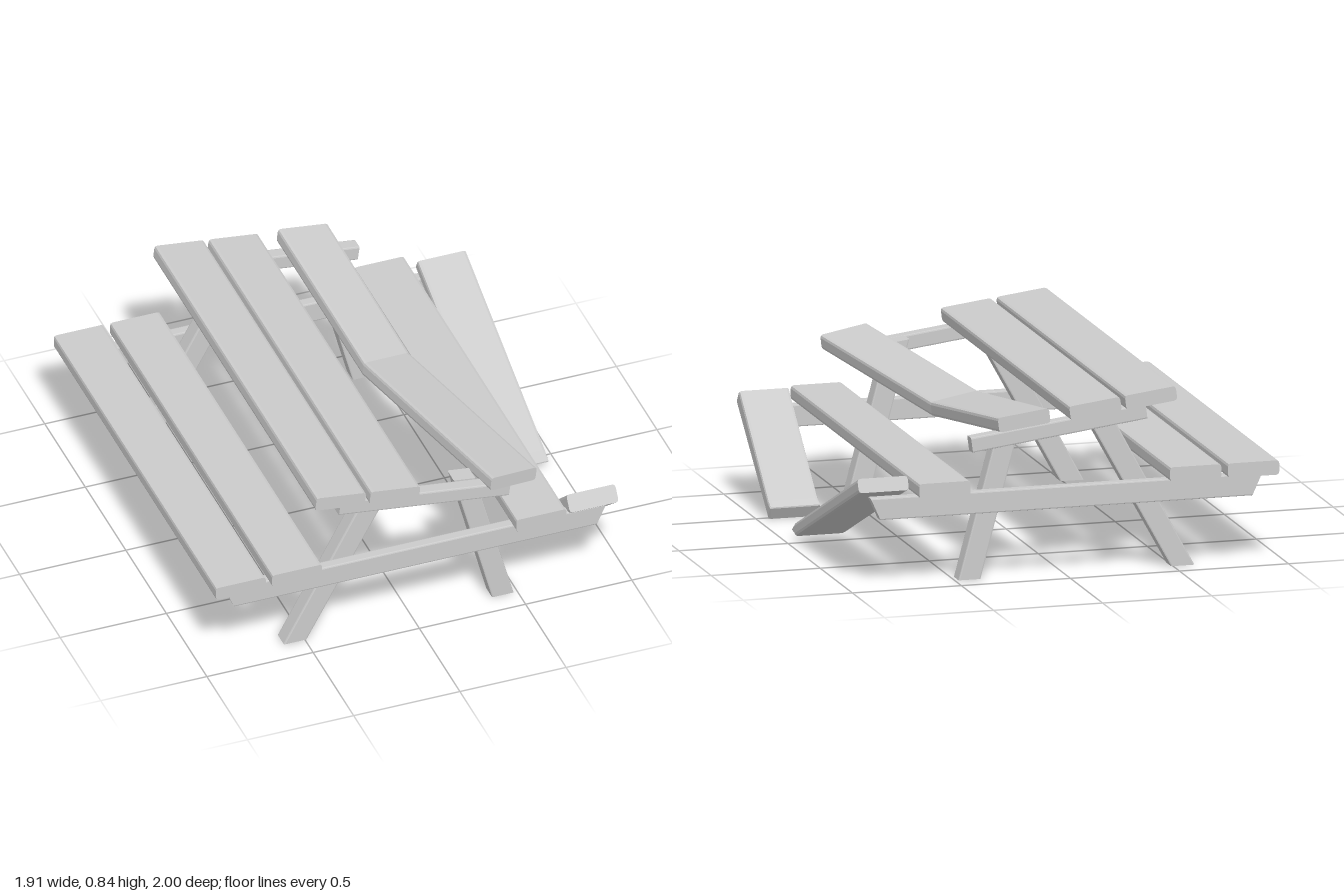
import * as THREE from 'three';

const material = new THREE.MeshStandardMaterial({ color: 0xcccccc, side: THREE.DoubleSide });

// Timber lofted through stations [centre, width vector, thickness vector], with eased long edges.
function timber(name, stations, ease = 0.014) {
  const st = stations.map((s) => s.map((v) => new THREE.Vector3(...v)));
  const ref = st[1];
  const a = ease / ref[1].length(), b = ease / ref[2].length(), h = 0.5;
  const s = new THREE.Shape();
  s.moveTo(-h + a, -h);
  s.lineTo(h - a, -h);
  s.quadraticCurveTo(h, -h, h, -h + b);
  s.lineTo(h, h - b);
  s.quadraticCurveTo(h, h, h - a, h);
  s.lineTo(-h + a, h);
  s.quadraticCurveTo(-h, h, -h, h - b);
  s.lineTo(-h, -h + b);
  s.quadraticCurveTo(-h, -h, -h + a, -h);
  const n = st.length - 1;
  const geo = new THREE.ExtrudeGeometry(s, { depth: 1, steps: n, bevelEnabled: false, curveSegments: 2 });
  const pos = geo.attributes.position;
  const p = new THREE.Vector3();
  for (let i = 0; i < pos.count; i++) {
    const [c, u, v] = st[Math.round(pos.getZ(i) * n)];
    p.copy(c).addScaledVector(u, pos.getX(i)).addScaledVector(v, pos.getY(i));
    pos.setXYZ(i, p.x, p.y, p.z);
  }
  geo.computeVertexNormals();
  const mesh = new THREE.Mesh(geo, material);
  mesh.name = name;
  return mesh;
}

// Straight plank running the full depth
function plank(name, x, y, tilt) {
  const u = [0.235 * Math.cos(tilt), 0.235 * Math.sin(tilt), 0];
  const v = [-0.065 * Math.sin(tilt), 0.065 * Math.cos(tilt), 0];
  return timber(name, [[[x, y, -1], u, v], [[x, y, 1], u, v]]);
}

export function createModel() {
  const group = new THREE.Group();
  group.name = 'brokenPicnicTable';
  const tilt = -0.126;

  // Seat planks
  for (const x of [-0.84, -0.575, 0.575]) group.add(plank('seatPlank', x, 0.438, 0));

  // Sagging table top: two whole planks and one cracked in the middle
  group.add(plank('tablePlank', -0.37, 0.79, tilt));
  group.add(plank('tablePlank', -0.115, 0.758, tilt));
  group.add(timber('crackedTablePlank', [
    [[0.212, 0.727, -1], [0.235, -0.03, 0], [0.008, 0.066, 0]],
    [[0.266, 0.609, -0.11], [0.23, -0.03, -0.04], [0.008, 0.066, 0]],
    [[0.452, 0.682, 0.977], [0.23, -0.03, -0.045], [0.008, 0.066, 0]],
  ]));

  // Snapped outer seat plank: two halves hanging to the ground, each with a split tip
  const w = [0.23, 0, 0];
  group.add(timber('snappedSeatFront', [
    [[0.838, 0.058, 0.438], w, [0, 0.006, 0]],
    [[0.838, 0.043, 0.471], w, [0, 0.082, 0]],
    [[0.838, 0.448, 0.94], w, [0, 0.065, -0.048]],
  ]));
  group.add(timber('snappedSeatBack', [
    [[0.838, 0.463, -0.93], w, [0, 0.059, 0.027]],
    [[0.838, 0.048, 0.054], w, [0, 0.058, 0.012]],
    [[0.838, 0.038, 0.096], w, [0, 0.006, 0]],
  ]));

  // End frames, mirrored front and back
  for (const side of [1, -1]) {
    const legDepth = [0, 0, -0.08];
    const zLeg = 0.86 * side;
    group.add(timber('leftSlantLeg', [
      [[-0.545, 0, zLeg], [0.108, 0, 0], legDepth],
      [[-0.147, 0.728, zLeg], [0.108, -0.014, 0], legDepth],
    ], 0.007));
    group.add(timber('rightSlantLeg', [
      [[0.432, 0, zLeg], [0.102, 0, 0], legDepth],
      [[0.251, 0.68, zLeg], [0.102, -0.013, 0], legDepth],
    ], 0.007));
    group.add(timber('seatBeam', [
      [[-0.872, 0.356, 0.923 * side], [-0.045, 0.1, 0], [0, 0, 0.05]],
      [[0.877, 0.356, 0.923 * side], [0.045, 0.1, 0], [0, 0, 0.05]],
    ], 0.007));
    group.add(timber('tableTopBeam', [
      [[-0.36, 0.722, 0.932 * side], [0.009, 0.068, 0], [0, 0, 0.062]],
      [[0.44, 0.62, 0.932 * side], [0.009, 0.068, 0], [0, 0, 0.062]],
    ], 0.007));
  }
  return group;
}
